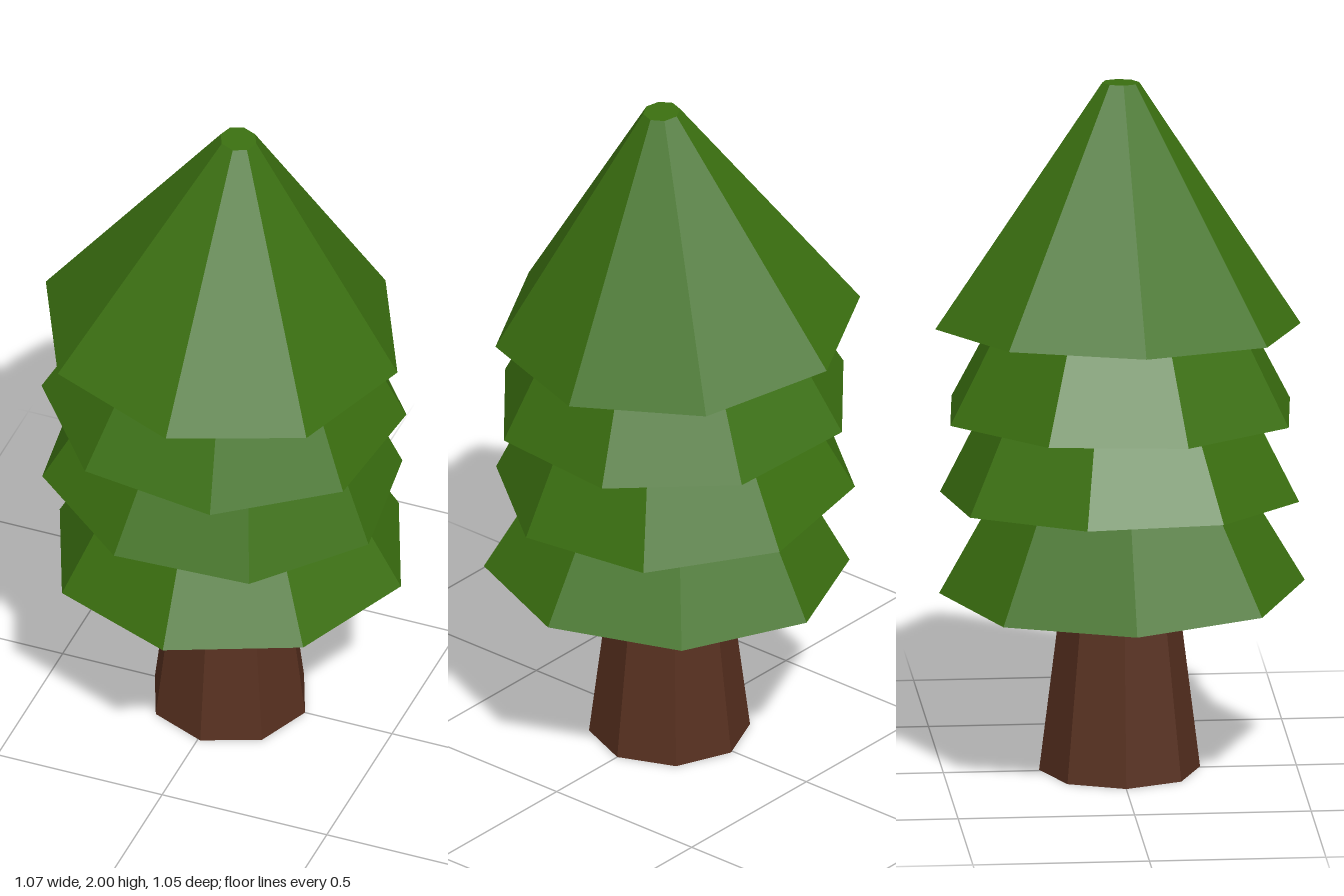
import * as THREE from 'three';

const SIDES = 8;
const leafMaterial = new THREE.MeshStandardMaterial({ color: 0x3b7010, flatShading: true });
const barkMaterial = new THREE.MeshStandardMaterial({ color: 0x57301f, flatShading: true });

// Low-poly tapered drum whose origin is the centre of its base
function frustum(name, material, { base, top, height, at, turn = 0, tilt = [0, 0] }) {
  const geometry = new THREE.CylinderGeometry(top, base, height, SIDES, 1, false, turn);
  geometry.translate(0, height / 2, 0);
  const mesh = new THREE.Mesh(geometry, material);
  mesh.name = name;
  mesh.position.set(...at);
  mesh.rotation.set(tilt[0], 0, tilt[1]);
  return mesh;
}

export function createModel() {
  const tree = new THREE.Group();
  tree.name = 'pineTree';

  // Tapered trunk, its top hidden in the lowest branches
  tree.add(frustum('trunk', barkMaterial, { base: 0.228, top: 0.141, height: 0.7, at: [0.008, 0, 0] }));

  // Stacked branch skirts, each turned and leaning a little differently
  const tiers = [
    { base: 0.518, top: 0.29, height: 0.4, at: [0.012, 0.53, 0.007], turn: 0, tilt: [-0.015, 0.02] },
    { base: 0.515, top: 0.31, height: 0.4, at: [-0.016, 0.8, -0.002], turn: -0.26, tilt: [0, -0.07] },
    { base: 0.517, top: 0.3, height: 0.4, at: [-0.01, 1.047, 0], turn: 0.3, tilt: [0.008, -0.045] },
    { base: 0.522, top: 0.053, height: 0.7, at: [-0.02, 1.3, -0.007], turn: 0.07, tilt: [0.018, -0.08] },
  ];
  const foliage = new THREE.Group();
  foliage.name = 'foliage';
  tiers.forEach((tier, i) => foliage.add(frustum(`branchTier${i + 1}`, leafMaterial, tier)));
  tree.add(foliage);

  return tree;
}
